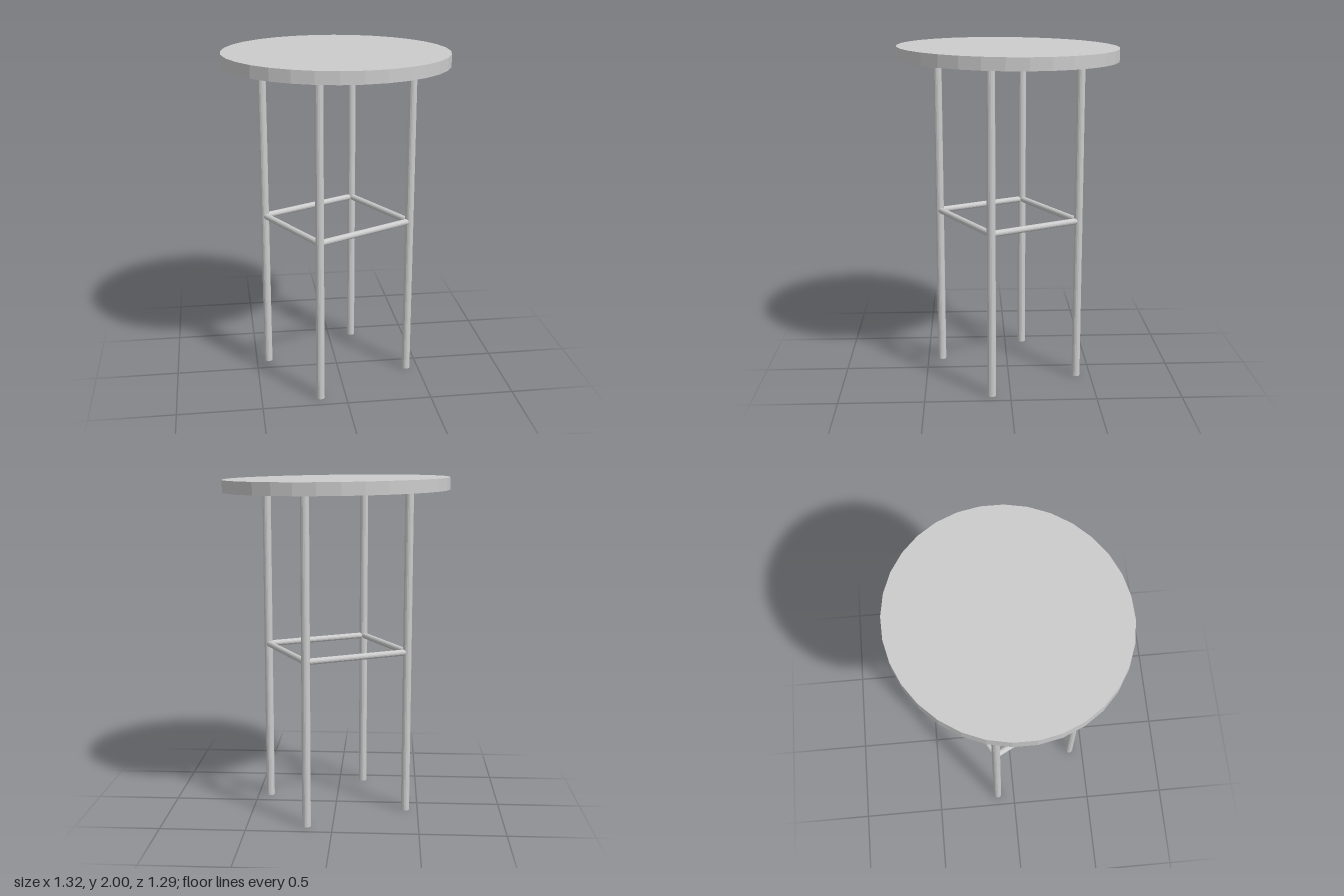
import * as THREE from 'three';

export function createModel() {
  const stool = new THREE.Group();
  stool.name = 'stool';
  const material = new THREE.MeshStandardMaterial({ color: 0xcccccc, flatShading: true });
  const up = new THREE.Vector3(0, 1, 0);

  // Round rod running between two points
  function rod(name, from, to, radius, parent) {
    const along = to.clone().sub(from);
    const mesh = new THREE.Mesh(new THREE.CylinderGeometry(radius, radius, along.length(), 16), material);
    mesh.position.copy(from).addScaledVector(along, 0.5);
    mesh.quaternion.setFromUnitVectors(up, along.normalize());
    mesh.name = name;
    parent.add(mesh);
  }

  // Slightly oval seat, turned and tilted a touch
  const seat = new THREE.Mesh(
    new THREE.CylinderGeometry(1, 1, 0.072, 32).scale(0.672, 1, 0.638).rotateY(THREE.MathUtils.degToRad(29)),
    material
  );
  seat.name = 'seat';
  seat.position.y = 1.956;
  seat.rotation.set(-0.006, 0, -0.011);
  stool.add(seat);

  // Four legs on a rectangle, joined by stretchers at mid height
  const base = new THREE.Group();
  base.name = 'base';
  base.rotation.y = THREE.MathUtils.degToRad(27.7);
  stool.add(base);

  const halfX = 0.326, halfZ = 0.295, legTop = 1.935, barHeight = 0.98;
  const corners = [[1, 1], [-1, 1], [-1, -1], [1, -1]];
  const at = (i, y) => {
    const [sx, sz] = corners[i % 4];
    return new THREE.Vector3(sx * halfX, y, sz * halfZ);
  };
  for (let i = 0; i < 4; i++) {
    rod('leg', at(i, 0), at(i, legTop), 0.025, base);
    rod('stretcher', at(i, barHeight), at(i + 1, barHeight), 0.0185, base);
  }
  return stool;
}
